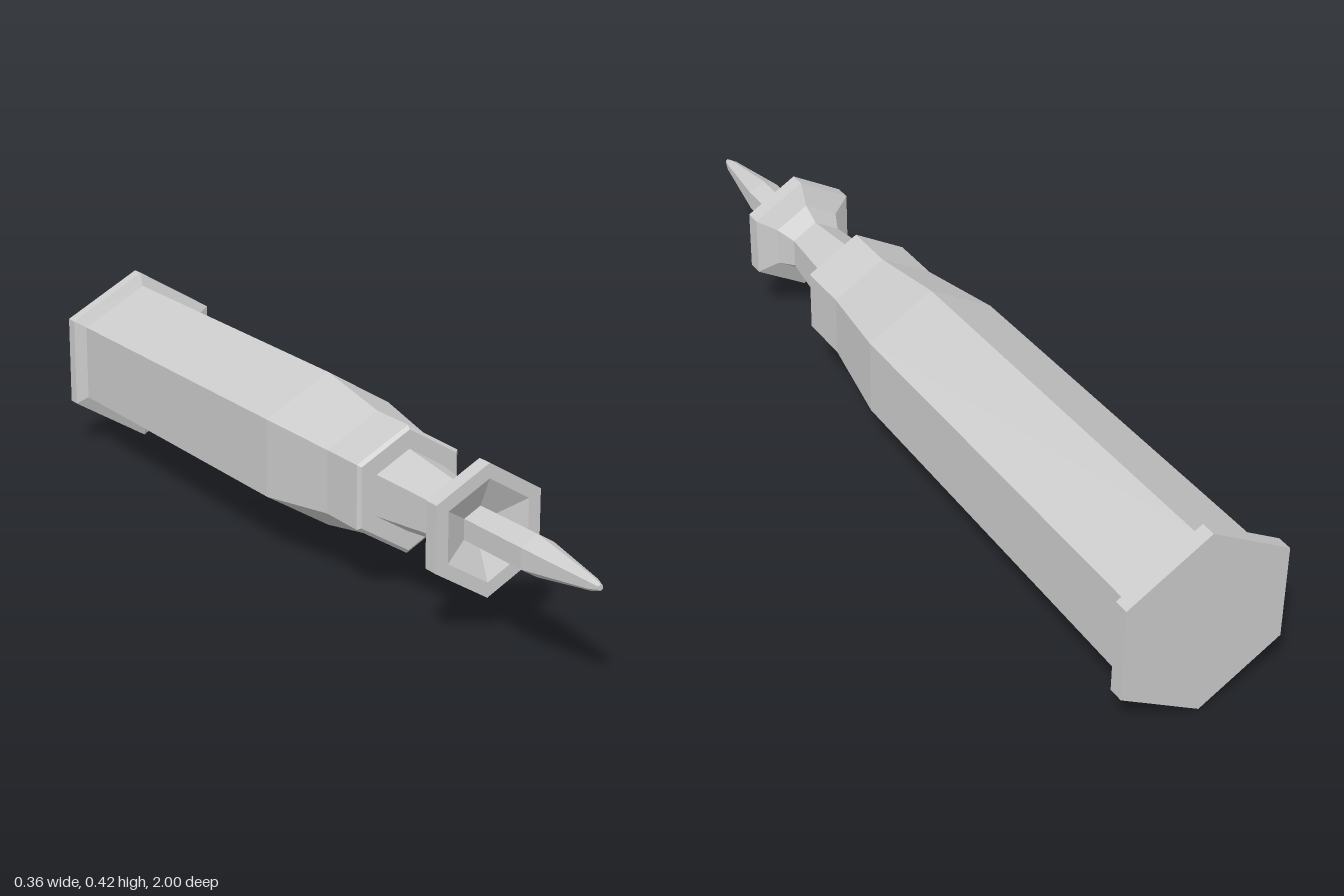
import * as THREE from 'three';

const SIDES = 6;
const AXIS_HEIGHT = 0.208;

// Faceted hexagonal turning along +z; profile rows are [corner radius, z], back to front.
function turned(name, profile, material) {
  const points = profile.map(([r, z]) => new THREE.Vector2(r, z));
  const geometry = new THREE.LatheGeometry(points, SIDES).toNonIndexed();
  geometry.rotateX(Math.PI / 2);
  geometry.computeVertexNormals();
  const mesh = new THREE.Mesh(geometry, material);
  mesh.name = name;
  return mesh;
}

export function createModel() {
  const material = new THREE.MeshStandardMaterial({ color: 0xcccccc, flatShading: true });
  const model = new THREE.Group();
  model.name = 'hexagonalTool';

  const parts = {
    // flat end cap with a bevelled front lip
    endCap: [[0, -1], [0.208, -1], [0.208, -0.967], [0.177, -0.955]],
    // long handle, narrowing to a collar with a small chamfer
    handle: [[0.177, -0.955], [0.17, 0], [0.135, 0.21], [0.135, 0.332], [0.127, 0.339], [0.087, 0.339]],
    // waisted neck
    neck: [[0.087, 0.339], [0.065, 0.53], [0.087, 0.575]],
    // guard with a bevelled back and a dished front
    guard: [[0.087, 0.575], [0.135, 0.598], [0.135, 0.635], [0.104, 0.635], [0.042, 0.605]],
    // slender rod with a blunt point
    spike: [[0.042, 0.605], [0.042, 0.8], [0.014, 0.975], [0.006, 1], [0, 1]],
  };

  for (const [name, profile] of Object.entries(parts)) {
    const part = turned(name, profile, material);
    part.position.y = AXIS_HEIGHT;
    model.add(part);
  }
  return model;
}
